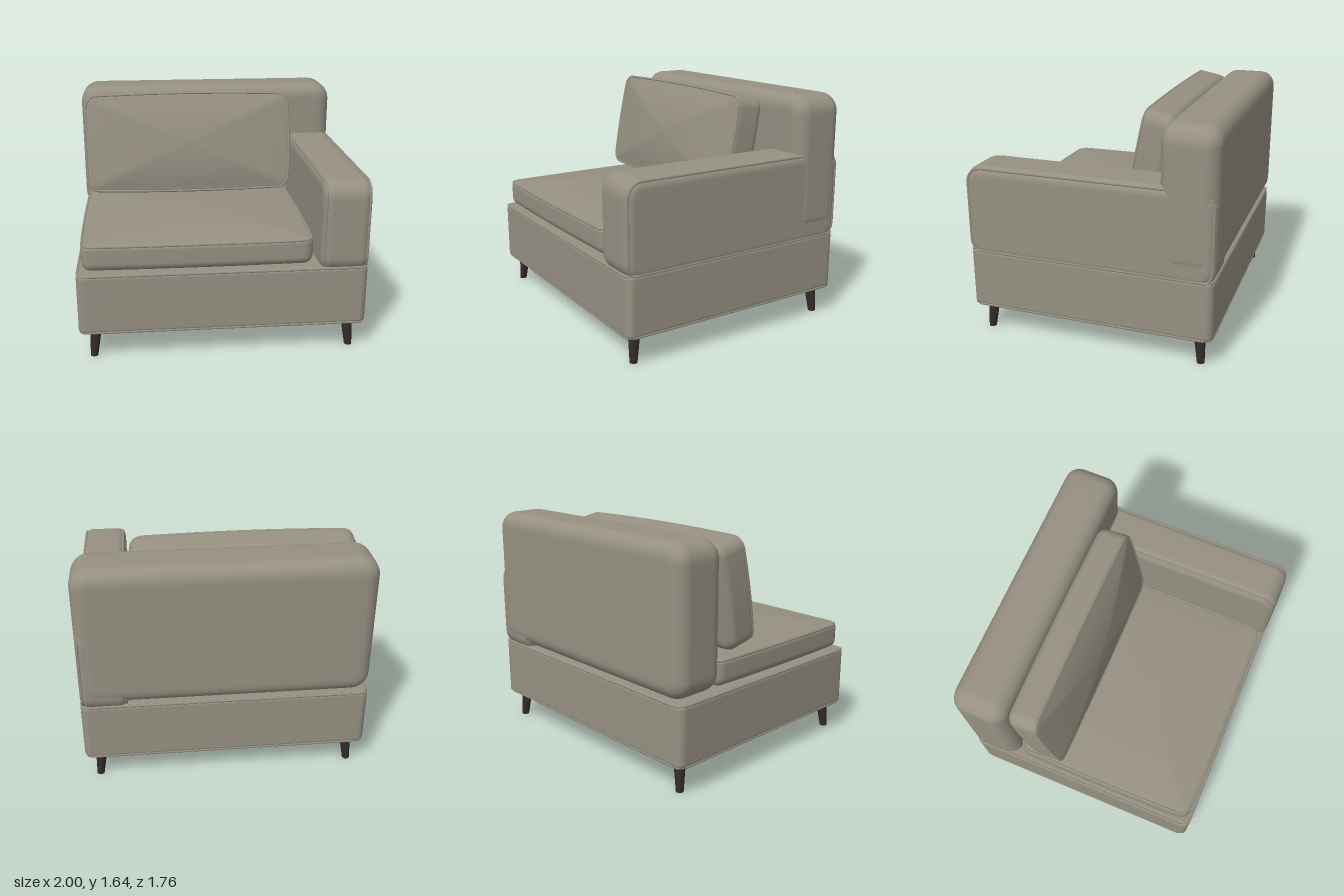
import * as THREE from 'three';

// Rounded rectangle in the xz plane, with sides that can bow outwards
function outline(hx, hz, r, bulge) {
  const pts = [], arc = 7, side = 10;
  const corners = [[1, 1], [-1, 1], [-1, -1], [1, -1]];
  const at = (k, a) => {
    const [sx, sz] = corners[k % 4];
    return [sx * (hx - r) + r * Math.cos(a), sz * (hz - r) + r * Math.sin(a)];
  };
  for (let k = 0; k < 4; k++) {
    const a0 = k * Math.PI / 2, a1 = a0 + Math.PI / 2;
    for (let i = 0; i <= arc; i++) pts.push(at(k, a0 + (a1 - a0) * i / arc));
    const p = at(k, a1), q = at(k + 1, a1);
    for (let i = 1; i < side; i++) {
      const t = i / side;
      pts.push([p[0] + (q[0] - p[0]) * t, p[1] + (q[1] - p[1]) * t]);
    }
  }
  return pts.map(([x, z]) => [
    x + bulge * (x / hx) * (1 - (z / hz) ** 2),
    z + bulge * (z / hz) * (1 - (x / hx) ** 2),
  ]);
}

// Upholstered block: stacked outlines along y with rounded edges and crowned faces
function paddedGeometry({ hx, hy, hz, corner, low, high, bulge = 0, crownLow = 0, crownHigh = 0 }) {
  const rings = [], steps = 6, caps = [0, 0.25, 0.5, 0.7, 0.85, 0.95];
  const ring = (inset, y, scale = 1) => rings.push(
    outline(hx - inset, hz - inset, Math.max(corner - inset, 0.015), bulge)
      .map(([x, z]) => [x * scale, y, z * scale]));
  for (const t of caps) ring(low, -hy - crownLow * (1 - t * t), t);
  for (let i = 0; i <= steps; i++) {
    const a = i / steps * Math.PI / 2;
    ring(low * (1 - Math.sin(a)), -hy + low * (1 - Math.cos(a)));
  }
  for (let i = 0; i <= steps; i++) {
    const a = i / steps * Math.PI / 2;
    ring(high * (1 - Math.cos(a)), hy - high * (1 - Math.sin(a)));
  }
  for (const t of [...caps].reverse()) ring(high, hy + crownHigh * (1 - t * t), t);

  const n = rings[0].length, index = [];
  for (let i = 0; i < rings.length - 1; i++) {
    for (let j = 0; j < n; j++) {
      const a = i * n + j, b = i * n + (j + 1) % n;
      index.push(a, a + n, b, b, a + n, b + n);
    }
  }
  const g = new THREE.BufferGeometry();
  g.setAttribute('position', new THREE.Float32BufferAttribute(rings.flat(2), 3));
  g.setIndex(index);
  g.computeVertexNormals();
  return g;
}

// Welt cord that follows a rounded edge of a padded block
function pipingGeometry({ hx, hy, hz, corner, low, high, bulge = 0 }, end, radius) {
  const edge = end > 0 ? high : low, inset = edge * 0.29;
  const pts = outline(hx - inset, hz - inset, Math.max(corner - inset, 0.015), bulge)
    .map(([x, z]) => new THREE.Vector3(x, end * (hy - inset), z));
  const path = new THREE.CatmullRomCurve3(pts, true);
  return new THREE.TubeGeometry(path, 140, radius, 8, true);
}

export function createModel() {
  const fabric = new THREE.MeshStandardMaterial({ color: 0x969082 });
  fabric.name = 'taupe fabric';
  const wood = new THREE.MeshStandardMaterial({ color: 0x352b2b });
  wood.name = 'dark wood';
  const model = new THREE.Group();
  model.name = 'oneArmSofaSection';

  const add = (parent, name, geometry, material) => {
    const mesh = new THREE.Mesh(geometry, material);
    mesh.name = name;
    parent.add(mesh);
    return mesh;
  };
  const upholstered = (name, spec, ends, position, rotation = [0, 0, 0]) => {
    const group = new THREE.Group();
    group.name = name;
    group.position.set(...position);
    group.rotation.set(...rotation);
    add(group, name + 'Body', paddedGeometry(spec), fabric);
    for (const end of ends) {
      add(group, name + 'Piping', pipingGeometry(spec, end, 0.01), fabric);
    }
    model.add(group);
  };

  // Base platform
  upholstered('base',
    { hx: 0.995, hy: 0.215, hz: 0.87, corner: 0.055, low: 0.03, high: 0.03 },
    [-1, 1], [0, 0.418, 0]);

  // Backrest, its thickness running along z
  upholstered('backrest',
    { hx: 0.998, hy: 0.195, hz: 0.5, corner: 0.13, low: 0.1, high: 0.1 },
    [], [0, 1.14, -0.685], [Math.PI / 2, 0, 0]);

  // Left arm, its thickness running along x
  upholstered('arm',
    { hx: 0.33, hy: 0.166, hz: 0.876, corner: 0.12, low: 0.065, high: 0.065 },
    [-1, 1], [0.828, 0.91, 0], [0, 0, -Math.PI / 2]);

  // Seat cushion
  upholstered('seatCushion',
    { hx: 0.785, hy: 0.095, hz: 0.665, corner: 0.07, low: 0.06, high: 0.035,
      bulge: 0.012, crownHigh: 0.045 },
    [1], [-0.17, 0.738, 0.172]);

  // Leaning back cushion
  upholstered('backCushion',
    { hx: 0.78, hy: 0.115, hz: 0.37, corner: 0.08, low: 0.06, high: 0.035,
      bulge: 0.016, crownLow: 0.02, crownHigh: 0.06 },
    [1], [-0.17, 1.235, -0.315], [Math.PI / 2 - 0.19, 0, 0]);

  // Tapered, splayed legs
  for (const sx of [-1, 1]) {
    for (const sz of [-1, 1]) {
      const g = new THREE.CylinderGeometry(0.042, 0.026, 0.22, 20);
      const p = g.attributes.position;
      for (let i = 0; i < p.count; i++) {
        const drop = (0.11 - p.getY(i)) / 0.22;
        p.setX(i, p.getX(i) + sx * 0.02 * drop);
        p.setZ(i, p.getZ(i) + sz * 0.018 * drop);
      }
      g.computeVertexNormals();
      const name = (sz > 0 ? 'front' : 'back') + (sx > 0 ? 'Left' : 'Right') + 'Leg';
      add(model, name, g, wood).position.set(sx * 0.88, 0.11, sz * 0.763);
    }
  }
  return model;
}
